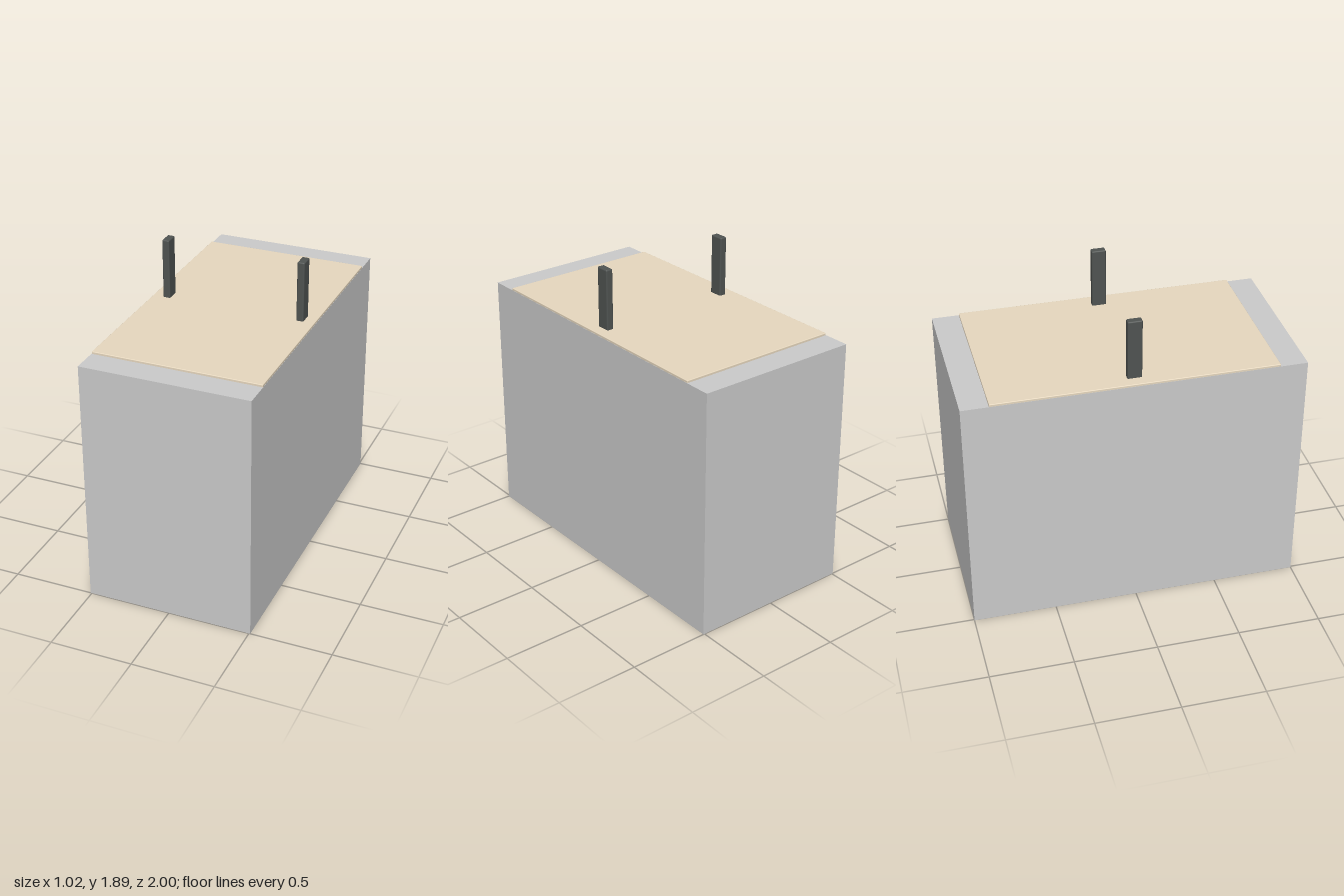
import * as THREE from 'three';
import { RoundedBoxGeometry } from 'three/addons/geometries/RoundedBoxGeometry.js';

export function createModel() {
  const group = new THREE.Group();
  const grey = new THREE.MeshStandardMaterial({ color: 0xcccccc });
  const tan = new THREE.MeshStandardMaterial({ color: 0xe8d9c0 });
  const dark = new THREE.MeshStandardMaterial({ color: 0x505452 });

  const add = (name, geometry, material, x, y, z) => {
    const mesh = new THREE.Mesh(geometry, material);
    mesh.name = name;
    mesh.position.set(x, y, z);
    group.add(mesh);
  };

  // Main case
  const caseTop = 1.512;
  add('case', new THREE.BoxGeometry(1.016, caseTop, 2), grey, 0, caseTop / 2, 0);

  // Thin cover plate, slightly sunk into the case top, with softened edges
  const plateTop = 1.526;
  add('coverPlate', new RoundedBoxGeometry(1.014, 0.03, 1.676, 2, 0.004), tan, 0, plateTop - 0.015, 0);

  // Pair of upright posts standing on the plate
  const postTop = 1.89, postBase = 1.51;
  for (const side of [1, -1]) {
    add(side > 0 ? 'leftPost' : 'rightPost',
      new RoundedBoxGeometry(0.044, postTop - postBase, 0.086, 3, 0.008),
      dark, side * 0.419, (postTop + postBase) / 2, 0);
  }

  return group;
}
